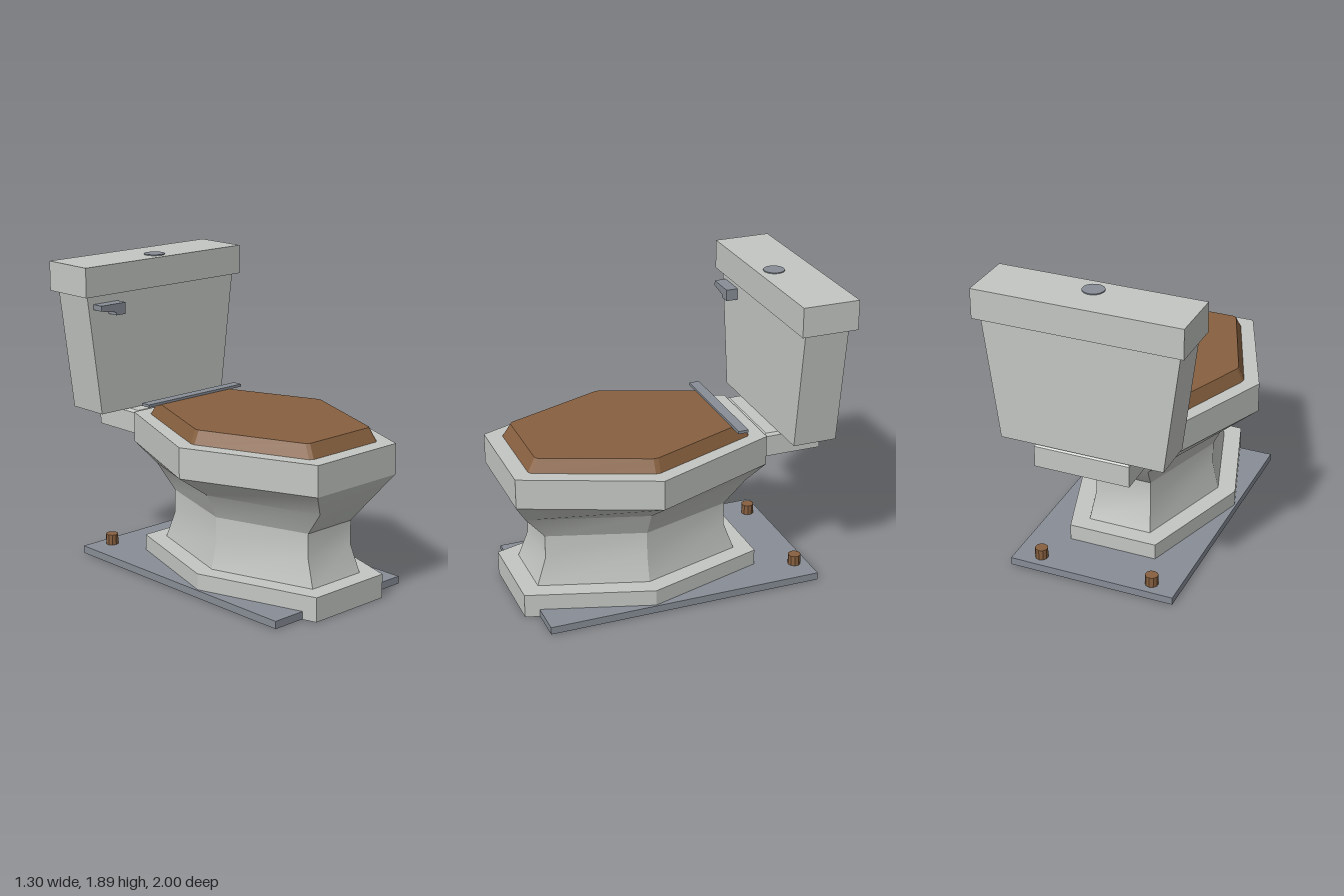
import * as THREE from 'three';
import { toCreasedNormals } from 'three/addons/utils/BufferGeometryUtils.js';

const porcelain = new THREE.MeshStandardMaterial({ color: 0xc3c6c2 });
porcelain.name = 'porcelain';
const wood = new THREE.MeshStandardMaterial({ color: 0x87603f });
wood.name = 'wood';
const metal = new THREE.MeshStandardMaterial({ color: 0x878d96 });
metal.name = 'metal';

const SIDE_Z = 0.205; // where the hexagon is widest

// Hexagon corners, counterclockwise from above
function hexagon(side, half, front, back) {
  return [[side, SIDE_Z], [half, back], [-half, back], [-side, SIDE_Z], [-half, front], [half, front]];
}

function rectangle(half, front, back) {
  return [[half, front], [half, back], [-half, back], [-half, front]];
}

// Replace every corner with a short edge
function cutCorners(points, d) {
  const n = points.length;
  const toward = (a, b) => {
    const len = Math.hypot(b[0] - a[0], b[1] - a[1]);
    return [a[0] + (b[0] - a[0]) * d / len, a[1] + (b[1] - a[1]) * d / len];
  };
  return points.flatMap((p, i) => [toward(p, points[(i + n - 1) % n]), toward(p, points[(i + 1) % n])]);
}

// Closed solid through horizontal rings, each { y, points }
function loft(rings, crease = 0.1) {
  const pos = [];
  const n = rings[0].points.length;
  const put = (ring, i) => {
    const p = ring.points[i % n];
    pos.push(p[0], ring.y, p[1]);
  };
  for (let r = 0; r < rings.length - 1; r++) {
    const a = rings[r], b = rings[r + 1];
    for (let i = 0; i < n; i++) {
      put(a, i); put(a, i + 1); put(b, i + 1);
      put(a, i); put(b, i + 1); put(b, i);
    }
  }
  const bottom = rings[0], top = rings[rings.length - 1];
  for (let i = 1; i < n - 1; i++) {
    put(top, 0); put(top, i); put(top, i + 1);
    put(bottom, 0); put(bottom, i + 1); put(bottom, i);
  }
  const geo = new THREE.BufferGeometry();
  geo.setAttribute('position', new THREE.Float32BufferAttribute(pos, 3));
  return toCreasedNormals(geo, crease);
}

export function createModel() {
  const model = new THREE.Group();
  model.name = 'toilet';

  const add = (name, geo, mat, x = 0, y = 0, z = 0) => {
    const mesh = new THREE.Mesh(geo, mat);
    mesh.name = name;
    mesh.position.set(x, y, z);
    model.add(mesh);
    return mesh;
  };
  // Box given by its limits, centred on x
  const block = (name, mat, half, y0, y1, back, front) =>
    add(name, new THREE.BoxGeometry(half * 2, y1 - y0, front - back), mat, 0, (y0 + y1) / 2, (front + back) / 2);

  // Floor plate with its bolts
  block('floorPlate', metal, 0.525, 0.003, 0.05, -0.87, 0.875);
  for (const s of [-1, 1]) {
    add(s > 0 ? 'leftBolt' : 'rightBolt',
      toCreasedNormals(new THREE.CylinderGeometry(0.04, 0.04, 0.067, 10), 0.1), wood, 0.36 * s, 0.0825, -0.785);
  }

  // Plinth, waisted pedestal and rim
  const plinth = hexagon(0.515, 0.28, 0.96, -0.545);
  add('plinth', loft([{ y: 0, points: plinth }, { y: 0.15, points: plinth }]), porcelain);

  add('pedestal', loft([
    { y: 0.15, points: hexagon(0.40, 0.20, 0.85, -0.435) },
    { y: 0.32, points: hexagon(0.362, 0.18, 0.79, -0.375) },
    { y: 0.468, points: hexagon(0.362, 0.18, 0.79, -0.375) },
    { y: 0.62, points: hexagon(0.435, 0.215, 0.915, -0.50) },
    { y: 0.767, points: hexagon(0.65, 0.325, 1.0, -0.585) },
  ], 0.34), porcelain);

  const rim = hexagon(0.65, 0.325, 1.0, -0.585);
  add('rim', loft([{ y: 0.767, points: rim }, { y: 0.955, points: rim }]), porcelain);

  // Seat lid with bevelled edge and hinge bar
  add('seatLid', loft([
    { y: 0.955, points: cutCorners(hexagon(0.552, 0.275, 0.902, -0.492), 0.016) },
    { y: 1.036, points: cutCorners(hexagon(0.515, 0.258, 0.855, -0.442), 0.016) },
  ]), wood);
  block('hingeBar', metal, 0.385, 1.034, 1.051, -0.435, -0.37);

  // Shelf joining the bowl to the tank, top edges chamfered
  add('tankShelf', loft([
    { y: 0.805, points: rectangle(0.295, -0.58, -0.957) },
    { y: 0.937, points: rectangle(0.295, -0.58, -0.957) },
    { y: 0.953, points: rectangle(0.28, -0.60, -0.94) },
  ]), porcelain);

  // Tank, widening upward, and its lid
  add('tank', loft([
    { y: 0.953, points: rectangle(0.502, -0.68, -0.957) },
    { y: 1.703, points: rectangle(0.598, -0.68, -0.957) },
  ]), porcelain);
  block('tankLid', porcelain, 0.632, 1.703, 1.886, -1, -0.645);
  add('flushButton', new THREE.CylinderGeometry(0.065, 0.065, 0.008, 24), metal, 0, 1.888, -0.752);

  // Flush lever
  const lever = new THREE.Shape([
    [-0.55, 1.65], [-0.55, 1.617], [-0.435, 1.597], [-0.435, 1.578], [-0.362, 1.578], [-0.362, 1.65],
  ].map(([x, y]) => new THREE.Vector2(x, y)));
  add('flushLever', new THREE.ExtrudeGeometry(lever, { depth: 0.077, bevelEnabled: false }), metal, 0, 0, -0.682);

  return model;
}
